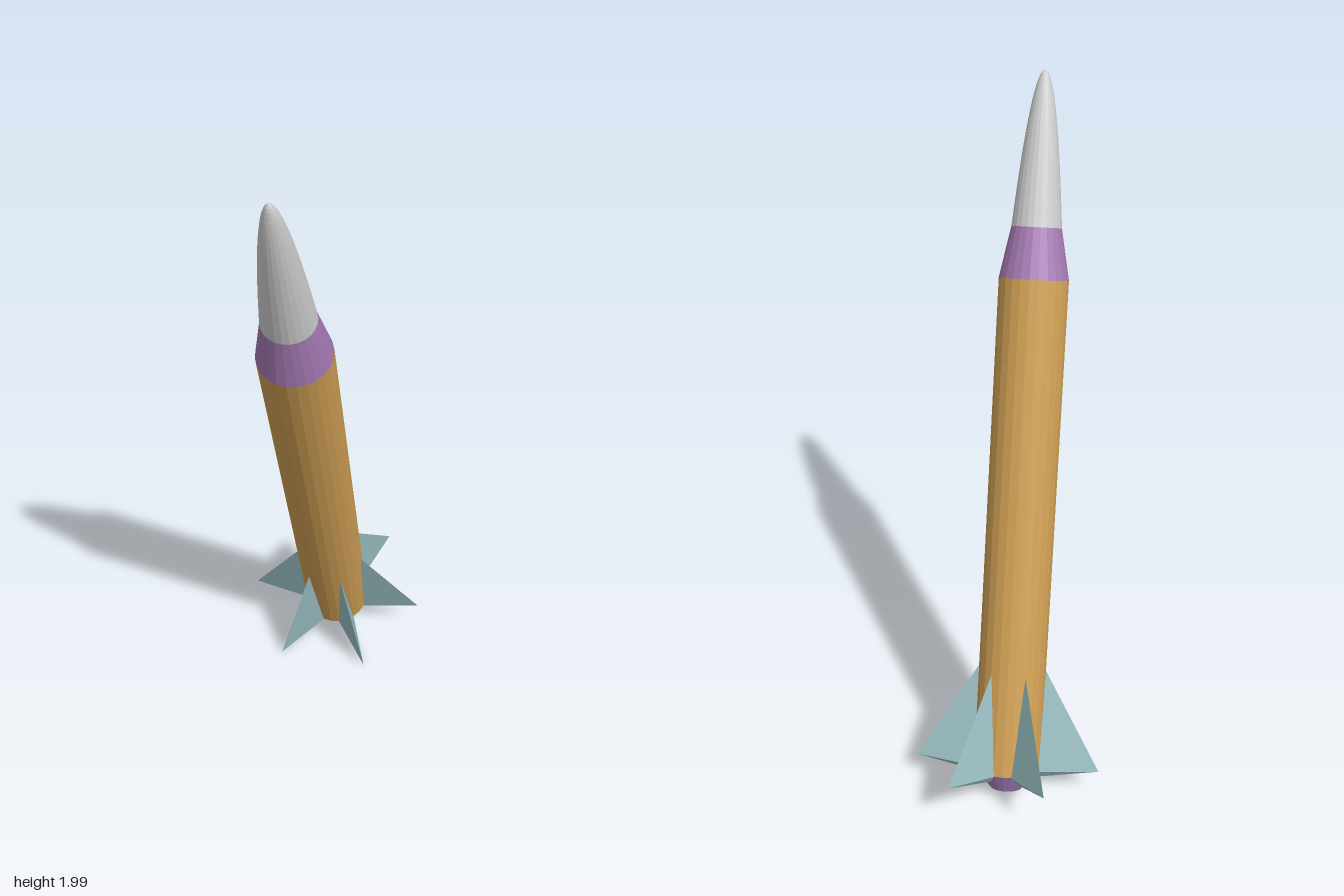
import * as THREE from 'three';

const SIDES = 24;
const BODY_R = 0.102;

function part(name, geometry, color) {
  const material = new THREE.MeshStandardMaterial({ color, flatShading: true });
  const mesh = new THREE.Mesh(geometry, material);
  mesh.name = name;
  return mesh;
}

// Revolved part; profile is [radius, distance below nose tip], listed bottom to top
function turned(name, profile, color) {
  const points = profile.map(([r, s]) => new THREE.Vector2(r, -s));
  return part(name, new THREE.LatheGeometry(points, SIDES), color);
}

// Pyramid fin: a diamond root on the hull rising to a single outer tip on +x
function finGeometry() {
  const c = BODY_R * Math.cos(Math.PI / 12);
  const h = BODY_R * Math.sin(Math.PI / 12);
  const tip = [0.28, -2.057, 0];
  const root = [
    [BODY_R, -1.754, 0],
    [c, -2.067, h],
    [0.078, -2.095, 0],
    [c, -2.067, -h],
  ];
  const positions = root.flatMap((p, i) => [...tip, ...p, ...root[(i + 1) % 4]]);
  const geometry = new THREE.BufferGeometry();
  geometry.setAttribute('position', new THREE.Float32BufferAttribute(positions, 3));
  geometry.computeVertexNormals();
  return geometry;
}

export function createModel() {
  const model = new THREE.Group();
  model.name = 'rocket';

  // Leaning rocket, built downward from the nose tip
  const rocket = new THREE.Group();
  rocket.name = 'tiltedRocket';
  rocket.position.set(0, 2, 0.505);
  rocket.rotation.x = THREE.MathUtils.degToRad(22.5);
  model.add(rocket);

  // Rounded nose, points bunched toward the tip
  const nose = [];
  for (let i = 16; i >= 0; i--) {
    const u = i / 16;
    nose.push([0.073 * u, 0.438 * u * u]);
  }
  rocket.add(turned('noseCone', nose, 0xcccccc));

  // Collar, hull and nozzle
  rocket.add(turned('collar', [[BODY_R, 0.585], [0.073, 0.438]], 0xa278b0));
  rocket.add(turned('body', [[BODY_R, 2.065], [BODY_R, 0.585]], 0xcc9d53));
  rocket.add(turned('nozzle', [[0, 2.13], [0.05, 2.13], [BODY_R, 2.065]], 0xa278b0));

  // Six fins around the base
  const fin = finGeometry();
  for (let i = 0; i < 6; i++) {
    const mesh = part(`fin${i + 1}`, fin, 0x96babe);
    mesh.rotation.y = (i * Math.PI) / 3;
    rocket.add(mesh);
  }

  return model;
}
